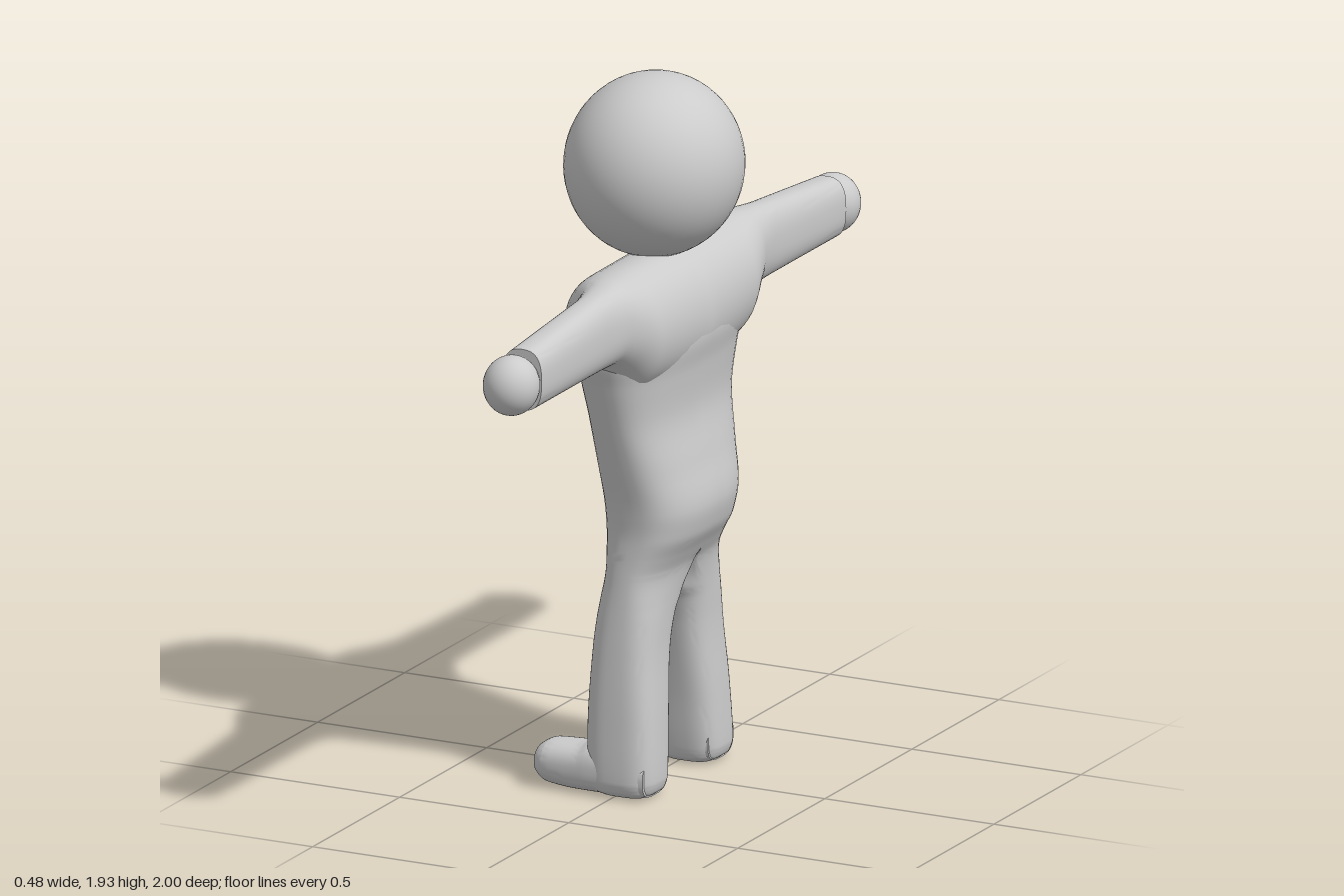
import * as THREE from 'three';
import { mergeVertices, toCreasedNormals } from 'three/addons/utils/BufferGeometryUtils.js';

const RING = 48;  // points around a section
const STEPS = 6;  // sections between two keys

// Monotone cubic interpolation of the key rows over their first column
function sampleRows(keys) {
  const slope = (i, c) => (keys[i + 1][c] - keys[i][c]) / (keys[i + 1][0] - keys[i][0]);
  const tangent = (i, c) => {
    if (i === 0) return slope(0, c);
    if (i === keys.length - 1) return slope(i - 1, c);
    const p = slope(i - 1, c), q = slope(i, c);
    return p * q <= 0 ? 0 : (2 * p * q) / (p + q);
  };
  const rows = [];
  for (let i = 0; i < keys.length - 1; i++) {
    const h = keys[i + 1][0] - keys[i][0];
    for (let k = 0; k < STEPS; k++) {
      const t = k / STEPS, t2 = t * t, t3 = t2 * t;
      rows.push(keys[i].map((v, c) =>
        v * (2 * t3 - 3 * t2 + 1) + keys[i + 1][c] * (3 * t2 - 2 * t3) +
        h * (tangent(i, c) * (t3 - 2 * t2 + t) + tangent(i + 1, c) * (t3 - t2))));
    }
  }
  rows.push(keys[keys.length - 1]);
  return rows;
}

// Loft of superellipse sections; key = [s, aMin, aMid, aMax, bMin, bMax, power]
// place(a, b, s) gives x, y, z; side -1 mirrors the part in z
function loft(keys, place, side) {
  const pos = [], index = [];
  const add = (a, b, s) => {
    const [x, y, z] = place(a, b, s);
    pos.push(x, y, z * side);
  };
  const tri = (a, b, c) => (side > 0 ? index.push(a, b, c) : index.push(a, c, b));
  const pow = (v, n) => Math.sign(v) * Math.pow(Math.abs(v) < 1e-9 ? 0 : Math.abs(v), 2 / n);
  const rows = sampleRows(keys);
  for (const [s, a0, am, a1, b0, b1, n] of rows) {
    for (let i = 0; i < RING; i++) {
      const t = (i / RING) * Math.PI * 2;
      const u = pow(Math.cos(t), n), v = pow(Math.sin(t), n);
      add(am + u * (u > 0 ? a1 - am : am - a0), (b0 + b1) / 2 + (v * (b1 - b0)) / 2, s);
    }
  }
  for (let r = 0; r < rows.length - 1; r++) {
    for (let i = 0; i < RING; i++) {
      const j = (i + 1) % RING, p = r * RING, q = p + RING;
      tri(p + i, p + j, q + j);
      tri(p + i, q + j, q + i);
    }
  }
  // end caps
  const first = rows[0], last = rows[rows.length - 1];
  const c0 = rows.length * RING, top = c0 - RING;
  for (const r of [first, last]) add((r[1] + r[3]) / 2, (r[4] + r[5]) / 2, r[0]);
  for (let i = 0; i < RING; i++) {
    const j = (i + 1) % RING;
    tri(c0, j, i);
    tri(c0 + 1, top + i, top + j);
  }
  const geo = new THREE.BufferGeometry();
  geo.setAttribute('position', new THREE.Float32BufferAttribute(pos, 3));
  geo.setIndex(index);
  return toCreasedNormals(mergeVertices(geo, 1e-5), 0.8);
}

// Half torso running into one leg: y, z inner / middle / outer, x range
const BODY = [
  [0.004, 0.125, 0.187, 0.245, -0.05, 0.085, 3],
  [0.018, 0.108, 0.187, 0.266, -0.075, 0.105, 3],
  [0.05, 0.1, 0.187, 0.274, -0.085, 0.113, 3],
  [0.2, 0.083, 0.177, 0.267, -0.09, 0.108, 3],
  [0.4, 0.048, 0.15, 0.252, -0.085, 0.098, 2.8],
  [0.48, 0.022, 0.125, 0.245, -0.081, 0.1, 2.7],
  [0.525, 0, 0.09, 0.241, -0.078, 0.103, 2.7],
  [0.6, 0, 0.015, 0.235, -0.076, 0.116, 2.6],
  [0.65, 0, 0, 0.231, -0.08, 0.14, 2.6],
  [0.71, 0, 0, 0.228, -0.085, 0.172, 2.6],
  [0.78, 0, 0, 0.234, -0.09, 0.185, 2.6],
  [0.9, 0, 0, 0.26, -0.1, 0.163, 2.6],
  [1.04, 0, 0, 0.297, -0.112, 0.14, 2.5],
  [1.15, 0, 0, 0.33, -0.13, 0.15, 2.4],
  [1.24, 0, 0, 0.355, -0.14, 0.166, 2.3],
  [1.3, 0, 0, 0.35, -0.138, 0.166, 2.3],
];

// Shoulder running into the arm: z, x range with crest, y range
const ARM = [
  [0, -0.143, 0.035, 0.17, 1.1, 1.46, 2],
  [0.26, -0.13, 0.035, 0.165, 1.13, 1.46, 2],
  [0.34, -0.085, 0.04, 0.145, 1.2, 1.46, 2.1],
  [0.4, -0.035, 0.048, 0.127, 1.238, 1.455, 2.3],
  [0.5, -0.006, 0.055, 0.116, 1.243, 1.446, 2.5],
  [0.875, -0.003, 0.055, 0.113, 1.245, 1.412, 2.7],
];

// Foot from toe to heel: x, y range, z range
const FOOT = [
  [-0.246, 0.05, 0.065, 0.08, 0.168, 0.21, 2],
  [-0.236, 0.026, 0.064, 0.104, 0.138, 0.242, 2.2],
  [-0.2, 0.006, 0.062, 0.122, 0.118, 0.262, 2.4],
  [-0.11, 0, 0.06, 0.126, 0.112, 0.268, 2.6],
  [-0.07, 0, 0.06, 0.14, 0.11, 0.27, 2.6],
  [0, 0, 0.06, 0.13, 0.108, 0.27, 2.8],
  [0.095, 0.006, 0.06, 0.1, 0.115, 0.262, 3],
];

export function createModel() {
  const model = new THREE.Group();
  model.name = 'figure';
  const material = new THREE.MeshStandardMaterial({ color: 0xcccccc });
  const add = (name, geometry) => {
    const mesh = new THREE.Mesh(geometry, material);
    mesh.name = name;
    model.add(mesh);
    return mesh;
  };

  // Head
  const head = add('head', new THREE.SphereGeometry(1, 48, 32));
  head.scale.set(0.237, 0.247, 0.251);
  head.position.set(0.001, 1.68, 0.01);

  // Mirrored body halves, arms, feet and hands
  for (const [side, label] of [[1, 'left'], [-1, 'right']]) {
    add(label + 'TorsoAndLeg', loft(BODY, (a, b, s) => [b, s, a], side));
    add(label + 'ShoulderAndArm', loft(ARM, (a, b, s) => [a, b, s], side));
    add(label + 'Foot', loft(FOOT, (a, b, s) => [s, a, b], side));
    const hand = add(label + 'Hand', new THREE.SphereGeometry(1, 32, 24));
    hand.scale.set(0.075, 0.081, 0.078);
    hand.position.set(0.048, 1.325, side * 0.922);
  }
  return model;
}
